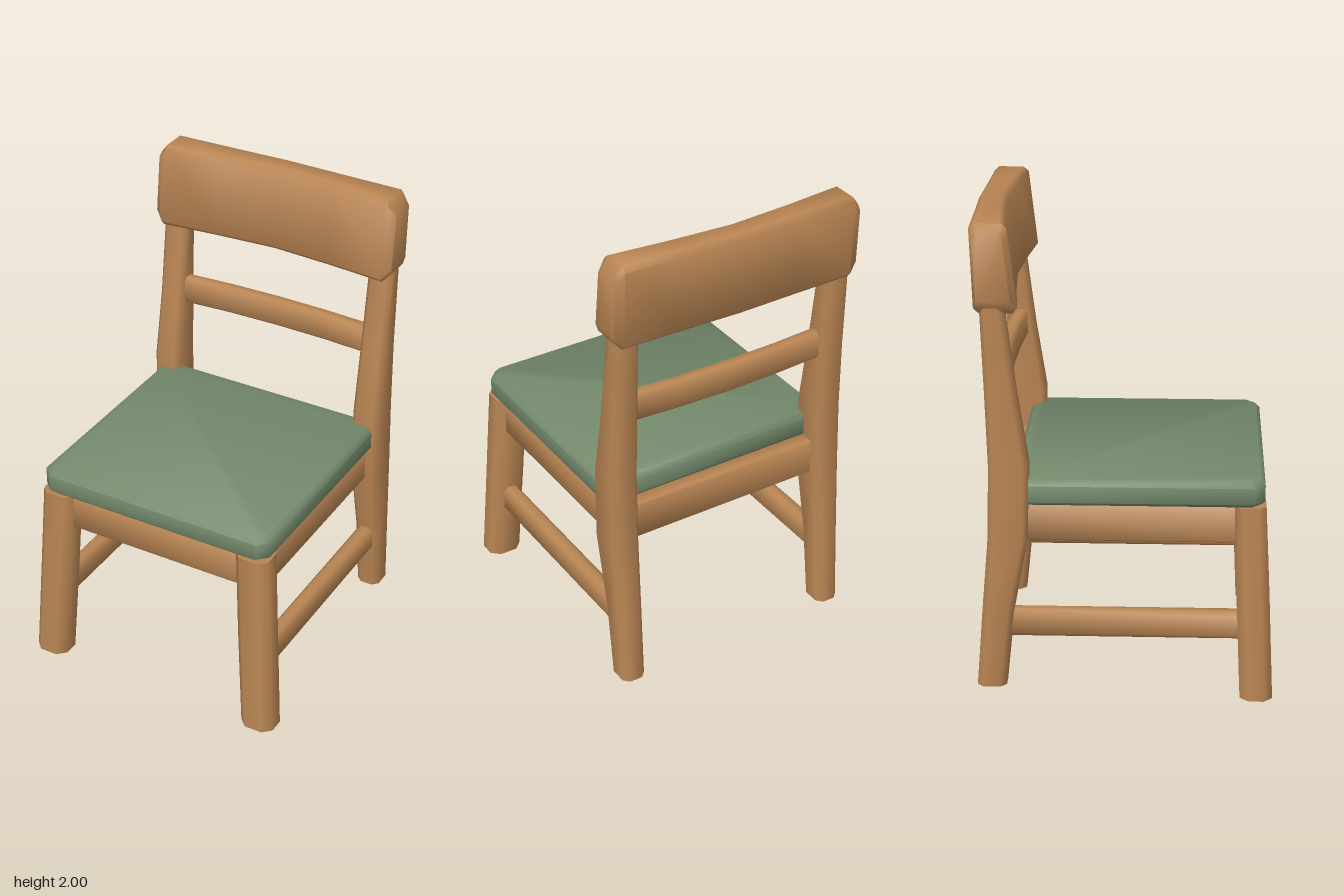
import * as THREE from 'three';
import { toCreasedNormals } from 'three/addons/utils/BufferGeometryUtils.js';

// Places a section point (u, v) at distance w along the chosen axis.
const place = {
  x: (u, v, w) => [w, u, v], // u = y, v = z
  y: (u, v, w) => [v, w, u], // u = z, v = x
  z: (u, v, w) => [u, v, w], // u = x, v = y
};

// Lofts chamfered rectangles; each row is [w, u0, u1, v0, v1, chamfer].
function loft(axis, rows, warp) {
  const pos = [];
  const index = [];
  for (const [w, u0, u1, v0, v1, c] of rows) {
    const ring = [
      [u0 + c, v0], [u1 - c, v0], [u1, v0 + c], [u1, v1 - c],
      [u1 - c, v1], [u0 + c, v1], [u0, v1 - c], [u0, v0 + c],
    ];
    for (const [u, v] of ring) {
      const p = place[axis](u, v, w);
      if (warp) warp(p);
      pos.push(...p);
    }
  }
  for (let r = 0; r < rows.length - 1; r++) {
    for (let i = 0; i < 8; i++) {
      const a = r * 8 + i, b = r * 8 + (i + 1) % 8;
      index.push(a, b, b + 8, a, b + 8, a + 8);
    }
  }
  const top = (rows.length - 1) * 8;
  for (let i = 1; i < 7; i++) {
    index.push(0, i + 1, i, top, top + i, top + i + 1);
  }
  const g = new THREE.BufferGeometry();
  g.setAttribute('position', new THREE.Float32BufferAttribute(pos, 3));
  g.setIndex(index);
  return toCreasedNormals(g, 0.9);
}

export function createModel() {
  const wood = new THREE.MeshStandardMaterial({ color: 0xb98553 });
  wood.name = 'warm wood';
  const fabric = new THREE.MeshStandardMaterial({ color: 0x748a6c });
  fabric.name = 'sage cushion';

  const model = new THREE.Group();
  model.name = 'chair';
  const add = (name, geometry, material = wood) => {
    const mesh = new THREE.Mesh(geometry, material);
    mesh.name = name;
    model.add(mesh);
  };

  // Seat cushion with softened rims
  add('seat', loft('y', [
    [0.835, -0.44, 0.555, -0.52, 0.52, 0.04],
    [0.85, -0.45, 0.57, -0.535, 0.535, 0.045],
    [0.92, -0.45, 0.57, -0.535, 0.535, 0.045],
    [0.945, -0.435, 0.55, -0.515, 0.515, 0.04],
  ]), fabric);

  // Legs, side aprons and side stretchers, mirrored
  for (const s of [1, -1]) {
    const side = s > 0 ? 'left' : 'right';
    const span = (a, b) => (s > 0 ? [a, b] : [-b, -a]);

    add(side + 'FrontLeg', loft('y', [
      [0, 0.48, 0.615, ...span(0.44, 0.59), 0.035],
      [0.45, 0.46, 0.595, ...span(0.41, 0.562), 0.035],
      [0.835, 0.445, 0.575, ...span(0.39, 0.537), 0.03],
    ]));
    add(side + 'BackLeg', loft('y', [
      [0.03, -0.612, -0.49, ...span(0.445, 0.55), 0.025],
      [0.36, -0.585, -0.455, ...span(0.44, 0.555), 0.025],
      [0.69, -0.555, -0.392, ...span(0.437, 0.56), 0.02],
      [1.0, -0.546, -0.385, ...span(0.437, 0.557), 0.02],
      [1.3, -0.555, -0.43, ...span(0.437, 0.55), 0.02],
      [1.75, -0.57, -0.485, ...span(0.44, 0.548), 0.02],
    ]));
    add(side + 'Apron', loft('z', [
      [-0.43, ...span(0.435, 0.51), 0.675, 0.837, 0.006],
      [0.49, ...span(0.435, 0.51), 0.675, 0.837, 0.006],
    ]));
    add(side + 'Stretcher', loft('z', [
      [-0.5, ...span(0.46, 0.53), 0.25, 0.37, 0.018],
      [0.51, ...span(0.46, 0.53), 0.25, 0.37, 0.018],
    ]));
  }

  // Front and back aprons
  for (const [name, z0, z1] of [['frontApron', 0.465, 0.545], ['backApron', -0.505, -0.43]]) {
    add(name, loft('x', [-0.45, 0.45].map((x) => [x, 0.675, 0.837, z0, z1, 0.006])));
  }

  // Middle slat, bowed slightly backward
  add('backSlat', loft('x', [-0.46, -0.23, 0, 0.23, 0.46].map((x) => {
    const bow = 0.02 * (1 - (x / 0.46) ** 2);
    return [x, 1.255, 1.38, -0.525 - bow, -0.46 - bow, 0.016];
  })));

  // Top rail: bowed back, chamfered ends, front face leaning back
  const lean = (p) => {
    const t = (p[1] - 1.64) / 0.36;
    p[2] -= t * (p[2] > -0.52 ? 0.04 : 0.012);
  };
  add('topRail', loft('x', [
    [-0.562, 1.68, 1.955, -0.575, -0.435, 0.02],
    [-0.525, 1.64, 2, -0.59, -0.415, 0.02],
    [-0.27, 1.64, 2, -0.595, -0.44, 0.02],
    [0, 1.64, 2, -0.602, -0.458, 0.02],
    [0.27, 1.64, 2, -0.595, -0.44, 0.02],
    [0.525, 1.64, 2, -0.59, -0.415, 0.02],
    [0.562, 1.68, 1.955, -0.575, -0.435, 0.02],
  ], lean));

  return model;
}
